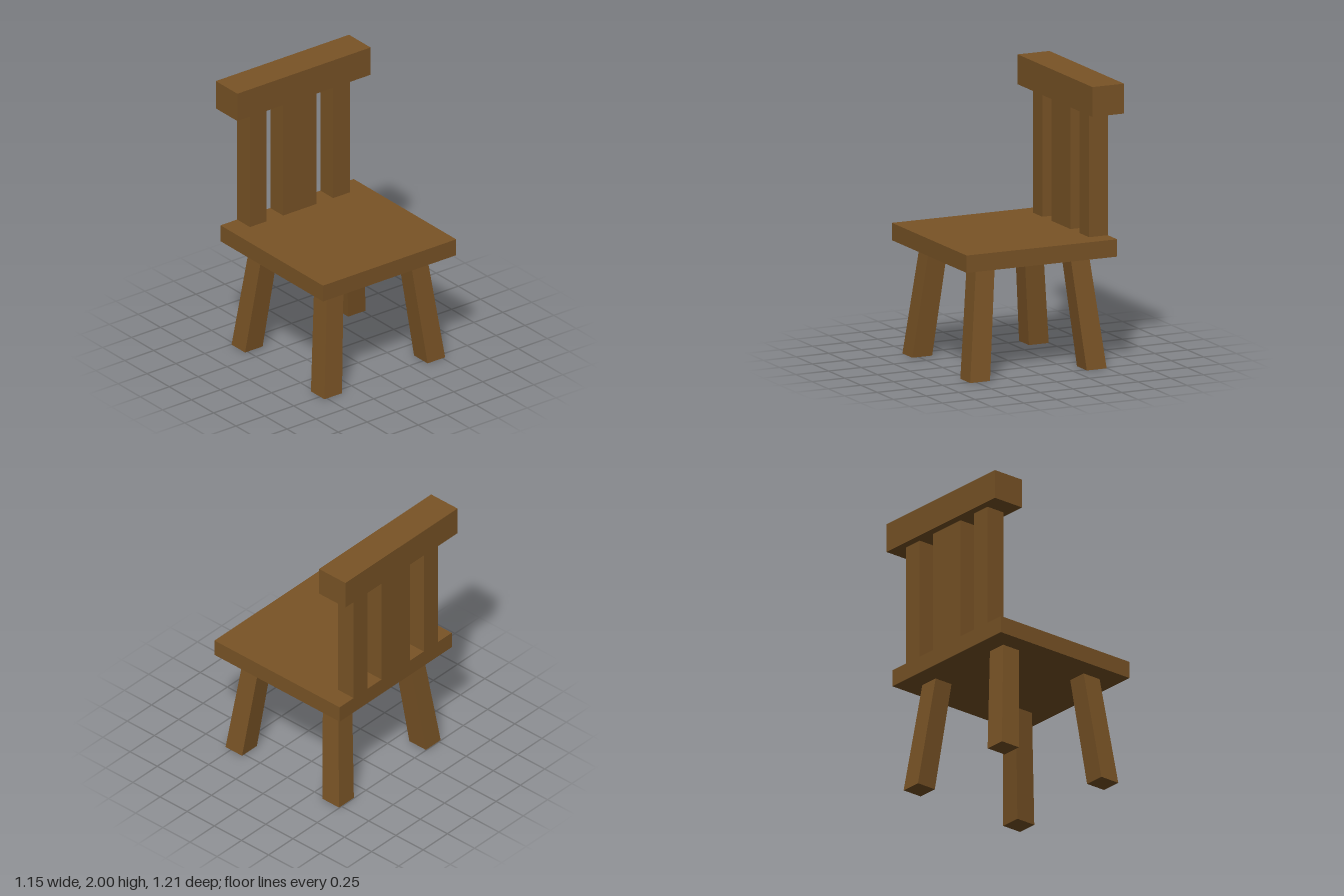
import * as THREE from 'three';

const wood = new THREE.MeshStandardMaterial({ color: 0x7a5426, flatShading: true });

// Box given by its lower and upper limits on each axis
function addBox(group, name, [x0, x1], [y0, y1], [z0, z1]) {
  const mesh = new THREE.Mesh(new THREE.BoxGeometry(x1 - x0, y1 - y0, z1 - z0), wood);
  mesh.position.set((x0 + x1) / 2, (y0 + y1) / 2, (z0 + z1) / 2);
  mesh.name = name;
  group.add(mesh);
}

// Splayed leg: a box whose corners run from a top rectangle to a foot rectangle
function addLeg(group, name, side, topZ, footZ) {
  const topX = [0.288, 0.43], footX = [0.37, 0.522];
  const geometry = new THREE.BoxGeometry(1, 1, 1);
  const p = geometry.attributes.position;
  for (let i = 0; i < p.count; i++) {
    const top = p.getY(i) > 0;
    const outer = p.getX(i) * side > 0 ? 1 : 0;
    const front = p.getZ(i) > 0 ? 1 : 0;
    p.setXYZ(i, side * (top ? topX : footX)[outer], top ? 0.79 : 0, (top ? topZ : footZ)[front]);
  }
  geometry.computeVertexNormals();
  const mesh = new THREE.Mesh(geometry, wood);
  mesh.name = name;
  group.add(mesh);
}

export function createModel() {
  const chair = new THREE.Group();
  chair.name = 'chair';

  // Seat and top rail
  addBox(chair, 'seat', [-0.576, 0.576], [0.79, 0.912], [-0.55, 0.603]);
  addBox(chair, 'topRail', [-0.576, 0.576], [1.79, 2], [-0.603, -0.36]);

  // Back slats, flush with the rear edge of the seat
  const slatY = [0.912, 1.79], slatZ = [-0.55, -0.406];
  addBox(chair, 'centreSlat', [-0.145, 0.145], slatY, slatZ);
  addBox(chair, 'leftSlat', [0.288, 0.432], slatY, slatZ);
  addBox(chair, 'rightSlat', [-0.432, -0.288], slatY, slatZ);

  // Four legs, splayed outwards
  for (const [label, side] of [['Left', 1], ['Right', -1]]) {
    addLeg(chair, `front${label}Leg`, side, [0.315, 0.459], [0.397, 0.549]);
    addLeg(chair, `back${label}Leg`, side, [-0.406, -0.264], [-0.496, -0.344]);
  }
  return chair;
}
